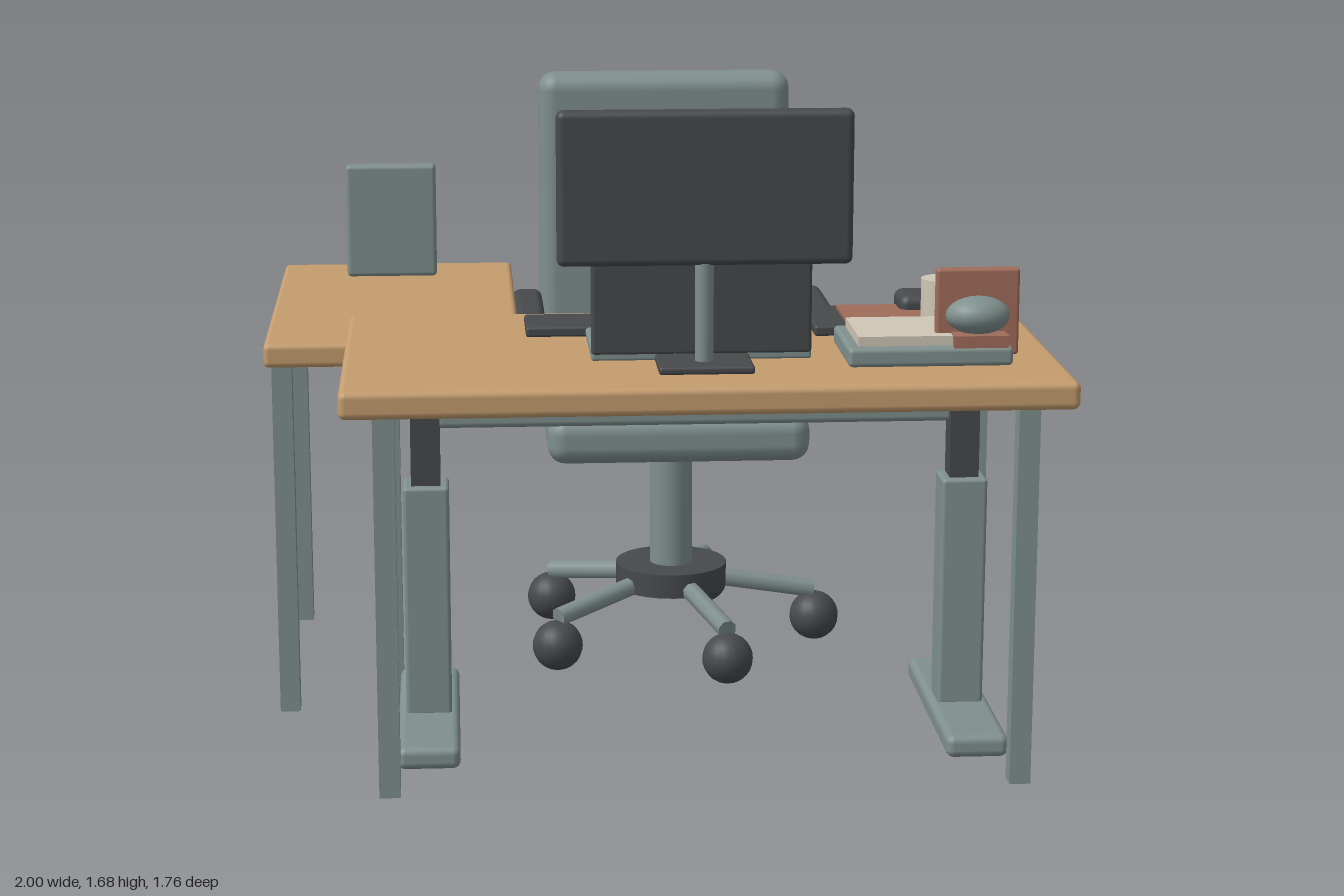
import * as THREE from 'three';
import { RoundedBoxGeometry } from 'three/addons/geometries/RoundedBoxGeometry.js';

function mat(name, color) {
  const m = new THREE.MeshStandardMaterial({ color });
  m.name = name;
  return m;
}

export function createModel() {
  const wood = mat('wood', 0xc49c6e);
  const grey = mat('sageGrey', 0x7f908d);
  const dark = mat('charcoal', 0x47494b);
  const teal = mat('screenTeal', 0x3f616b);
  const clay = mat('clay', 0xa06c5a);
  const cream = mat('cream', 0xcfc6b5);

  const root = new THREE.Group();
  root.name = 'homeOffice';
  const group = (name) => {
    const g = new THREE.Group();
    g.name = name;
    root.add(g);
    return g;
  };
  const add = (parent, name, geo, material, x = 0, y = 0, z = 0) => {
    const m = new THREE.Mesh(geo, material);
    m.name = name;
    m.position.set(x, y, z);
    parent.add(m);
    return m;
  };
  // Box from its min and max corners; r > 0 rounds the edges
  const box = (parent, name, material, [x0, x1], [y0, y1], [z0, z1], r = 0) => {
    const s = [x1 - x0, y1 - y0, z1 - z0];
    const geo = r ? new RoundedBoxGeometry(...s, 3, Math.min(r, Math.min(...s) * 0.49)) : new THREE.BoxGeometry(...s);
    return add(parent, name, geo, material, (x0 + x1) / 2, (y0 + y1) / 2, (z0 + z1) / 2);
  };
  const around = (c, w) => [c - w / 2, c + w / 2];

  // Main desk: top, corner legs, lifting columns with feet, crossbar
  const desk = group('desk');
  box(desk, 'deskTop', wood, [-0.79, 0.995], [0.977, 1.047], [-0.067, 0.88], 0.018);
  for (const x of [-0.685, 0.887])
    for (const z of [0.052, 0.772])
      box(desk, 'deskLeg', grey, around(x, 0.053), [0, 0.98], around(z, 0.053));
  for (const x of [-0.588, 0.789]) {
    box(desk, 'columnSleeve', grey, around(x, 0.117), [0.1, 0.705], around(0.412, 0.117), 0.01);
    box(desk, 'columnInner', dark, around(x, 0.075), [0.7, 0.98], around(0.412, 0.075));
    box(desk, 'columnFoot', grey, around(x, 0.157), [0.05, 0.108], [0.08, 0.745], 0.02);
    box(desk, 'footPad', dark, around(x, 0.1), [0.046, 0.052], around(0.412, 0.1));
  }
  box(desk, 'crossbar', grey, [-0.56, 0.757], [0.85, 0.903], around(0.412, 0.055), 0.015);
  box(desk, 'heightControl', dark, [0.675, 0.825], [0.927, 0.957], [-0.035, 0.03], 0.01);

  // Side desk
  const side = group('sideDesk');
  box(side, 'sideTop', wood, [-1, -0.34], [0.977, 1.04], [-0.88, 0.275], 0.015);
  for (const z of [-0.663, 0.163])
    box(side, 'sideLeg', grey, around(-0.959, 0.052), [0.025, 0.98], around(z, 0.055));

  // Swivel chair
  const chair = group('chair');
  const cx = 0.1, cz = -0.417;
  box(chair, 'seat', grey, [-0.26, 0.46], [0.612, 0.745], [-0.745, -0.087], 0.05);
  box(chair, 'backrest', grey, [-0.26, 0.46], [0.738, 1.615], [-0.808, -0.677], 0.05);
  for (const s of [-1, 1]) {
    const x = cx + s * 0.4;
    add(chair, 'armPost', new THREE.CylinderGeometry(0.03, 0.03, 0.26, 16), grey, x, 0.84, cz);
    box(chair, 'armrest', dark, around(x + s * 0.001, 0.085), [0.953, 1.013], [-0.61, -0.153], 0.025);
  }
  add(chair, 'gasLift', new THREE.CylinderGeometry(0.06, 0.06, 0.4, 24), grey, cx, 0.43, cz);
  add(chair, 'hub', new THREE.CylinderGeometry(0.158, 0.158, 0.068, 24), dark, cx, 0.216, cz);
  for (let i = 0; i < 5; i++) {
    const a = (i * Math.PI * 2) / 5;
    const at = (r, y) => new THREE.Vector3(cx + r * Math.cos(a), y, cz + r * Math.sin(a));
    const p = at(0.05, 0.215), q = at(0.41, 0.16);
    const spoke = add(chair, 'spoke', new THREE.CylinderGeometry(0.027, 0.027, p.distanceTo(q), 8), grey);
    spoke.position.copy(p).lerp(q, 0.5);
    spoke.quaternion.setFromUnitVectors(new THREE.Vector3(0, 1, 0), q.clone().sub(p).normalize());
    const c = at(0.413, 0.08);
    add(chair, 'caster', new THREE.SphereGeometry(0.07, 20, 14), dark, c.x, c.y, c.z);
  }

  // Monitor, its screen facing the chair
  const monitor = group('monitor');
  box(monitor, 'monitorPanel', dark, [-0.26, 0.463], [1.305, 1.685], [0.632, 0.683], 0.018);
  box(monitor, 'monitorScreen', teal, [-0.245, 0.448], [1.325, 1.665], [0.623, 0.632]);
  add(monitor, 'monitorPost', new THREE.CylinderGeometry(0.023, 0.023, 0.27, 16), grey, 0.101, 1.19, 0.655);
  box(monitor, 'monitorBase', dark, [-0.015, 0.22], [1.045, 1.066], [0.568, 0.735], 0.008);

  // Laptop
  const laptop = group('laptop');
  box(laptop, 'laptopBase', grey, [-0.172, 0.378], [1.045, 1.07], [0.168, 0.56], 0.008);
  box(laptop, 'laptopLid', dark, [-0.172, 0.378], [1.06, 1.387], [0.533, 0.563], 0.01);
  box(laptop, 'laptopScreen', teal, [-0.147, 0.353], [1.085, 1.365], [0.524, 0.533]);

  // Keyboard, mouse pad, mouse and notebook
  const tools = group('deskTools');
  box(tools, 'keyboard', dark, [-0.326, 0.228], [1.045, 1.073], [0.08, 0.258], 0.008);
  box(tools, 'mousePad', dark, [0.418, 0.832], [1.045, 1.074], [0.016, 0.292], 0.008);
  box(tools, 'mouse', dark, [0.662, 0.84], [1.06, 1.12], [0.005, 0.142], 0.025);
  box(tools, 'notebook', clay, [0.503, 0.808], [1.06, 1.083], [0.06, 0.42]);

  // Mug with a handle on its left
  const mug = group('mug');
  add(mug, 'mugBody', new THREE.CylinderGeometry(0.062, 0.062, 0.104, 24), cream, 0.765, 1.132, 0.23);
  add(mug, 'mugHandle', new THREE.TorusGeometry(0.024, 0.014, 8, 20), cream, 0.832, 1.132, 0.23);

  // Paper tray, picture frame and paperweight
  const papers = group('papers');
  box(papers, 'tray', grey, [0.45, 0.857], [1.055, 1.103], [0.42, 0.722], 0.012);
  box(papers, 'paper', cream, [0.477, 0.832], [1.103, 1.127], [0.448, 0.695]);
  box(papers, 'paperweightBase', clay, [0.71, 0.845], [1.1, 1.13], [0.6, 0.718]);
  add(papers, 'paperweight', new THREE.SphereGeometry(1, 20, 14), grey, 0.776, 1.172, 0.66).scale.set(0.08, 0.048, 0.064);
  box(papers, 'pictureFrame', clay, [0.673, 0.88], [1.07, 1.287], [0.628, 0.66], 0.008);
  box(papers, 'picture', cream, [0.703, 0.85], [1.1, 1.257], [0.619, 0.628]);

  // Hanging panel with a small plate facing the chair
  const panel = group('hangingPanel');
  box(panel, 'panelBody', grey, [-0.765, -0.55], [1.29, 1.56], [0.643, 0.688], 0.01);
  box(panel, 'panelPlate', cream, [-0.723, -0.592], [1.36, 1.49], [0.634, 0.643]);

  return root;
}
